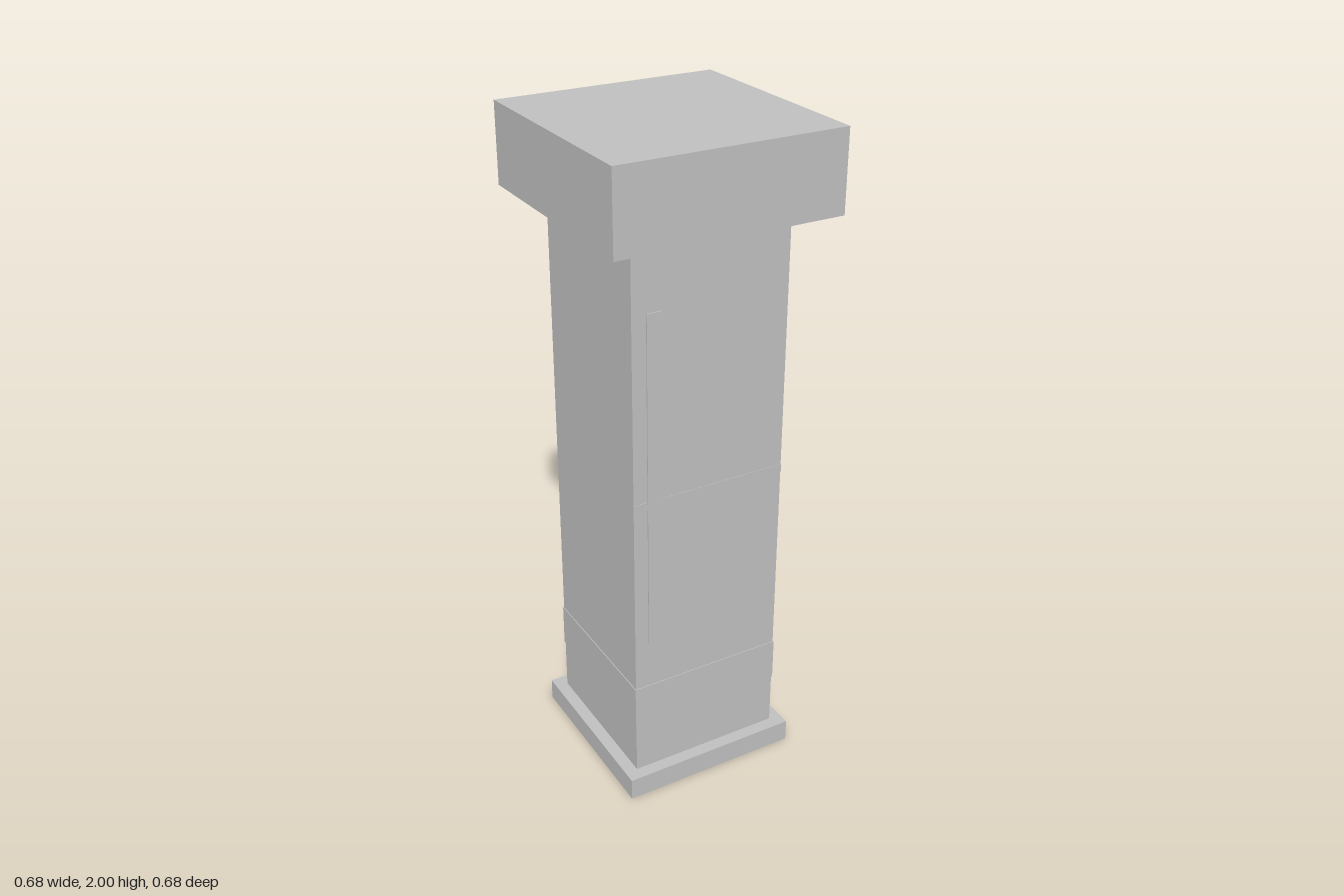
import * as THREE from 'three';

export function createModel() {
  const group = new THREE.Group();
  const stone = new THREE.MeshStandardMaterial({ color: 0xc0c0c0 });
  stone.name = 'light grey stone';

  // Box spanning y0..y1, centred at x, z
  function block(name, width, depth, y0, y1, x = 0, z = 0) {
    const mesh = new THREE.Mesh(new THREE.BoxGeometry(width, y1 - y0, depth), stone);
    mesh.name = name;
    mesh.position.set(x, (y0 + y1) / 2, z);
    group.add(mesh);
  }

  // Main masses
  block('basePlinth', 0.56, 0.56, 0, 0.07);
  block('shaft', 0.482, 0.482, 0.07, 1.765);
  block('capital', 0.678, 0.678, 1.765, 2);

  // Slightly raised band around the lower shaft
  block('lowerBand', 0.487, 0.487, 0.24, 0.375);

  // Thin raised strips on the front face
  block('frontVerticalStrip', 0.045, 0.005, 0.525, 1.565, -0.175, 0.242);
  block('frontCrossStrip', 0.484, 0.003, 0.98, 1.005, 0, 0.241);

  return group;
}
